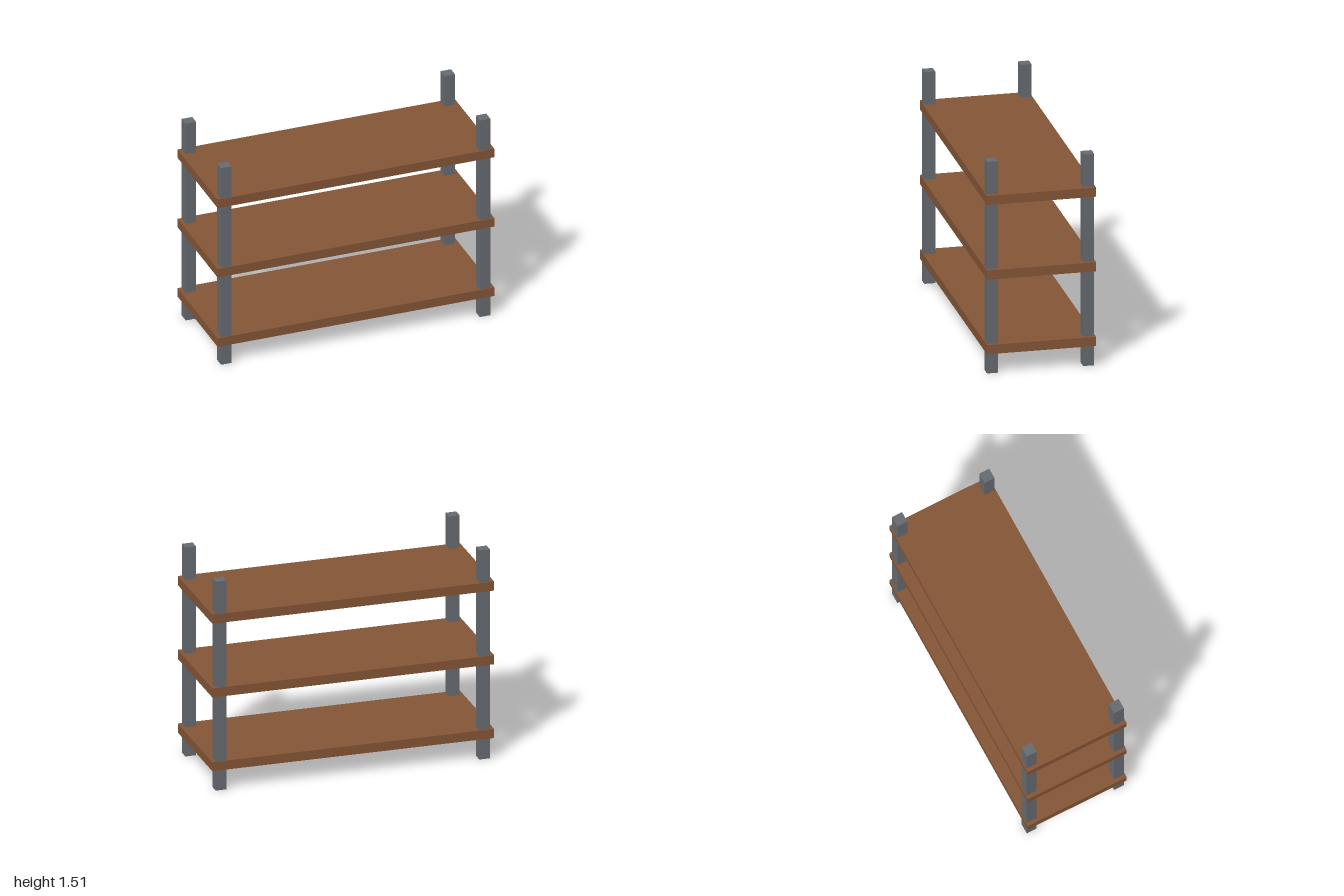
import * as THREE from 'three';

const wood = new THREE.MeshStandardMaterial({ color: 0x855536 });
wood.name = 'brown wood';
const metal = new THREE.MeshStandardMaterial({ color: 0x666b70 });
metal.name = 'grey metal';

function box(name, size, position, material) {
  const mesh = new THREE.Mesh(new THREE.BoxGeometry(...size), material);
  mesh.name = name;
  mesh.position.set(...position);
  return mesh;
}

export function createModel() {
  const model = new THREE.Group();
  model.name = 'shelvingUnit';

  // Four square corner posts, set just inside the shelf edges
  const postHeight = 1.513;
  for (const [side, sx] of [['Left', 1], ['Right', -1]]) {
    for (const [end, sz] of [['front', 1], ['back', -1]]) {
      model.add(box(`${end}${side}Post`, [0.076, postHeight, 0.076],
        [sx * 0.935, postHeight / 2, sz * 0.333], metal));
    }
  }

  // Three evenly spaced boards
  ['lowerShelf', 'middleShelf', 'upperShelf'].forEach((name, i) => {
    model.add(box(name, [2, 0.065, 0.756], [0, 0.179 + i * 0.534, 0], wood));
  });

  return model;
}
